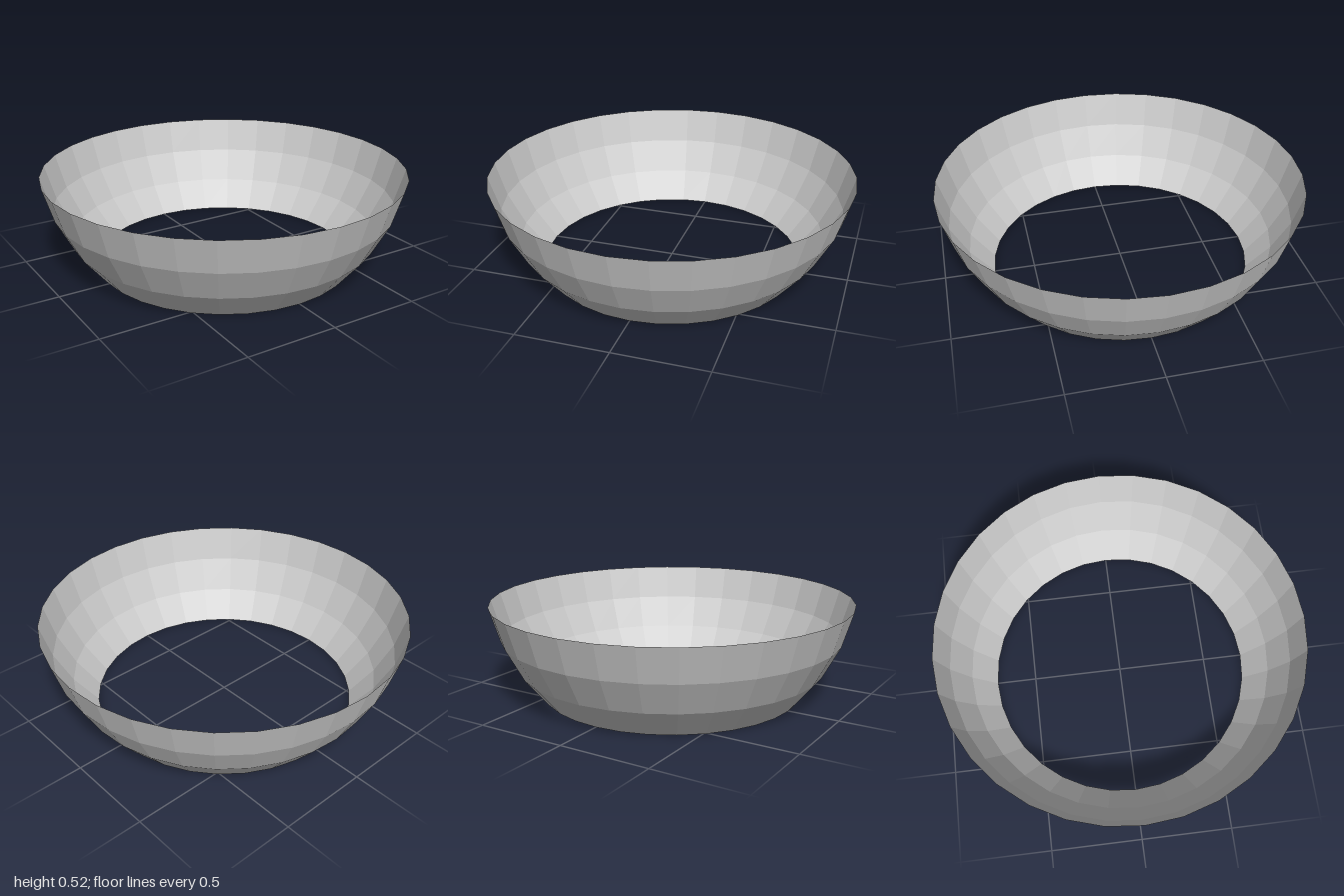
import * as THREE from 'three';

export function createModel() {
  const group = new THREE.Group();
  const step = Math.PI / 16;
  const radius = 1 / Math.cos(step); // rim radius is 1, one step below the equator

  // Open band of a faceted sphere: three rows of 32 panels, no floor or lid
  const geometry = new THREE.SphereGeometry(radius, 32, 3, 0, Math.PI * 2, 9 * step, 3 * step);
  geometry.translate(0, radius * Math.sin(4 * step), 0); // stand the lower edge on the ground

  const band = new THREE.Mesh(geometry, new THREE.MeshStandardMaterial({
    color: 0xcccccc, flatShading: true, side: THREE.DoubleSide,
  }));
  band.name = 'bowlRing';
  group.add(band);
  return group;
}
